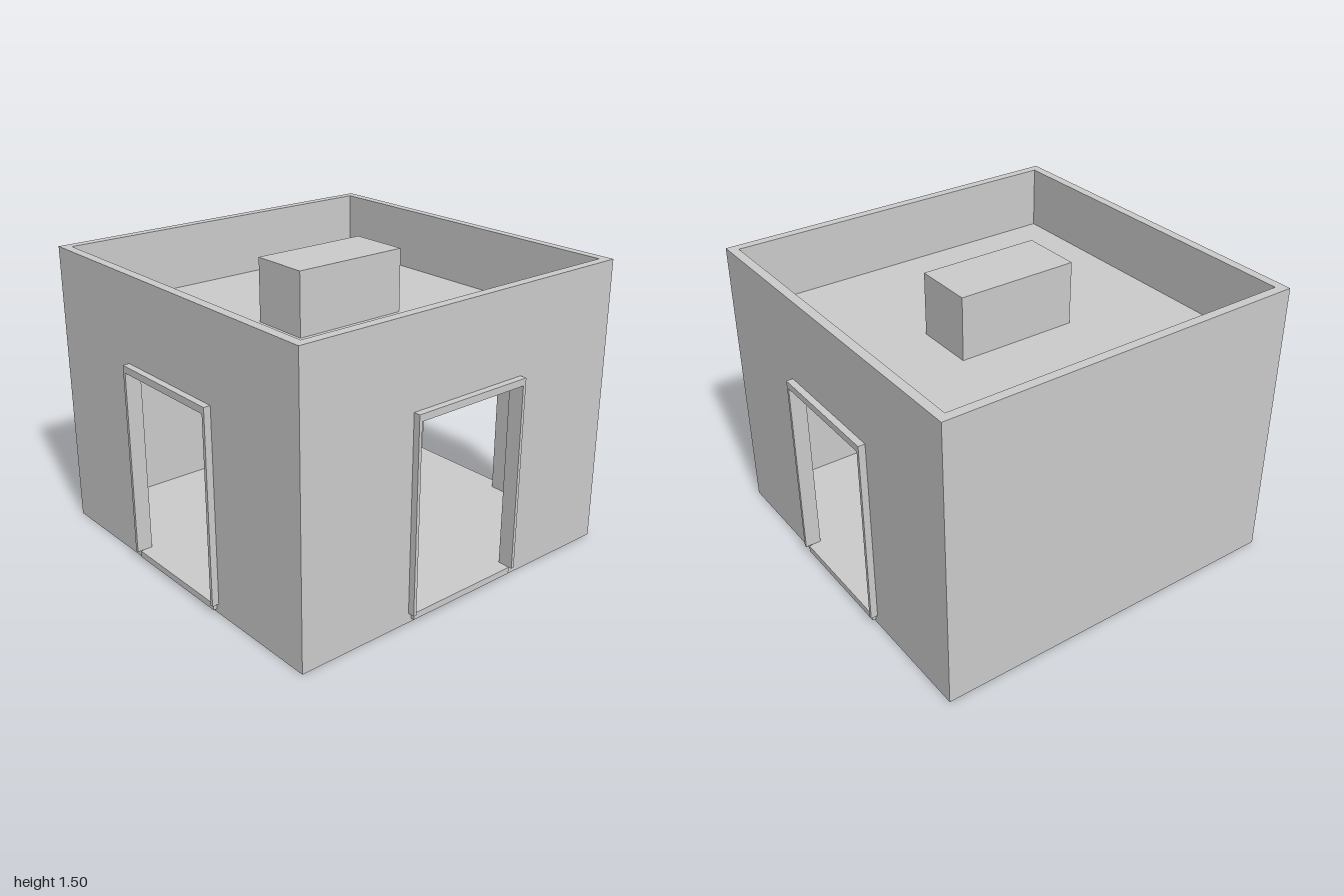
import * as THREE from 'three';

const CX = -0.02;          // centre of the room in x
const HALF = 0.965;        // half of the square plan
const T = 0.048;           // wall thickness
const HEIGHT = 1.5;
const DOOR = { half: 0.323, bottom: 0.05, top: 1.018 };
const FRAME = { half: 0.34, top: 1.054, depth: 0.035 };
const SILL = { half: 0.322, bottom: 0.016, top: 0.05, depth: 0.018 };

export function createModel() {
  const model = new THREE.Group();
  model.name = 'room';
  const material = new THREE.MeshStandardMaterial({ color: 0xcccccc, flatShading: true });

  const add = (parent, name, geometry, x = 0, y = 0, z = 0) => {
    const mesh = new THREE.Mesh(geometry, material);
    mesh.name = name;
    mesh.position.set(x, y, z);
    parent.add(mesh);
    return mesh;
  };

  // Box given by its width, depth, bottom and top
  const slab = (parent, name, w, d, y0, y1, x = 0, z = 0) =>
    add(parent, name, new THREE.BoxGeometry(w, y1 - y0, d), x, (y0 + y1) / 2, z);

  const outline = (PathType, half, y0, y1) => new PathType([
    new THREE.Vector2(-half, y0), new THREE.Vector2(half, y0),
    new THREE.Vector2(half, y1), new THREE.Vector2(-half, y1),
  ]);
  const extrude = (shape, depth) =>
    new THREE.ExtrudeGeometry(shape, { depth, bevelEnabled: false });

  // Wall with a doorway, raised frame and sill; its outer face lies at local z = HALF
  const doorWall = (name, half, angle) => {
    const group = new THREE.Group();
    group.name = name;
    group.rotation.y = angle;

    const wall = outline(THREE.Shape, half, 0, HEIGHT);
    wall.holes.push(outline(THREE.Path, DOOR.half, DOOR.bottom, DOOR.top));
    add(group, 'wall', extrude(wall, T), 0, 0, HALF - T);

    const f = FRAME.half, d = DOOR.half;
    const frame = new THREE.Shape([
      [-f, DOOR.bottom], [-d, DOOR.bottom], [-d, DOOR.top], [d, DOOR.top],
      [d, DOOR.bottom], [f, DOOR.bottom], [f, FRAME.top], [-f, FRAME.top],
    ].map(([x, y]) => new THREE.Vector2(x, y)));
    add(group, 'doorFrame', extrude(frame, FRAME.depth), 0, 0, HALF);

    slab(group, 'doorSill', SILL.half * 2, SILL.depth, SILL.bottom, SILL.top, 0, HALF + SILL.depth / 2);
    group.position.x = CX;
    model.add(group);
  };

  // Walls: three with doorways, the left-hand screen side (-x) closed
  const inner = HALF - T;
  doorWall('frontWall', HALF, 0);
  doorWall('backWall', HALF, Math.PI);
  doorWall('rightWall', inner, Math.PI / 2);
  slab(model, 'closedWall', T, inner * 2, 0, HEIGHT, CX - HALF + T / 2);

  // Floor and recessed roof
  slab(model, 'floor', inner * 2, inner * 2, 0, 0.05, CX);
  slab(model, 'roof', inner * 2, inner * 2, 1.11, 1.17, CX);

  // Central core rising from the floor through the roof
  slab(model, 'centralCore', 0.32, 0.64, 0.05, HEIGHT, CX);

  return model;
}
